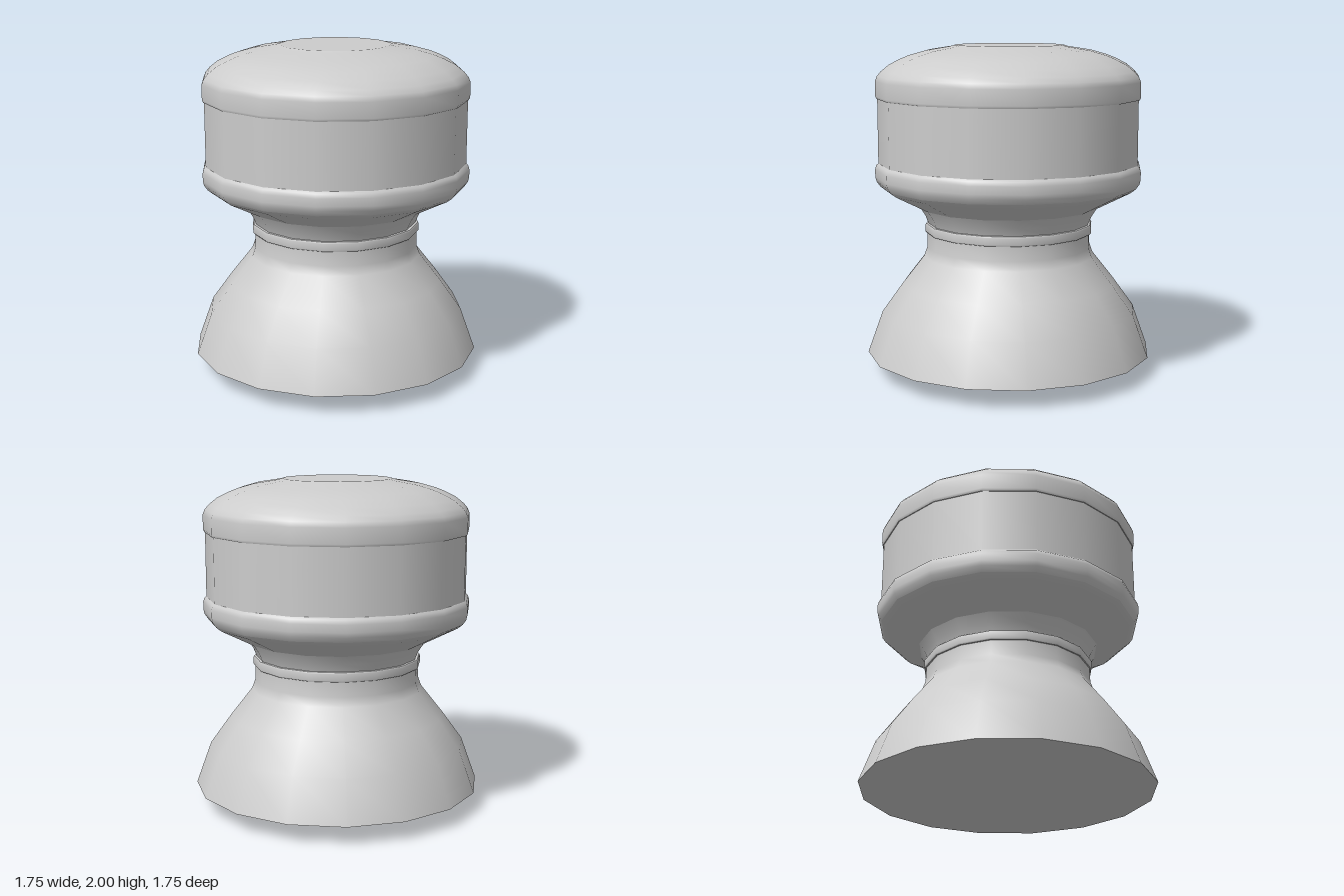
import * as THREE from 'three';

const SIDES = 16;

export function createModel() {
  const model = new THREE.Group();
  const grey = new THREE.MeshStandardMaterial({ name: 'plain grey', color: 0xcccccc });

  // Turned part from a bottom-to-top profile of [radius, height]; smooth within the part
  function turned(name, profile) {
    const points = profile.map(([r, y]) => new THREE.Vector2(r, y));
    const mesh = new THREE.Mesh(new THREE.LatheGeometry(points, SIDES), grey);
    mesh.name = name;
    model.add(mesh);
  }

  // Shallow cone closing the underside
  turned('underside', [[0, 0], [0.877, 0.115]]);

  // Flaring foot that narrows to the waist
  turned('foot', [[0.877, 0.115], [0.785, 0.37], [0.655, 0.55], [0.525, 0.715], [0.505, 0.77], [0.502, 0.86]]);

  // Thin collar around the waist
  turned('collarUnderside', [[0.49, 0.86], [0.51, 0.86]]);
  turned('collar', [[0.51, 0.86], [0.516, 0.868], [0.516, 0.908], [0.51, 0.917]]);
  turned('collarTop', [[0.51, 0.917], [0.48, 0.92]]);

  // Neck opening out below the head
  turned('neck', [[0.495, 0.915], [0.515, 0.965], [0.55, 1.02]]);

  // Sloping underside of the head and its rounded lower rim
  turned('headUnderside', [[0.55, 1.02], [0.755, 1.125], [0.787, 1.15]]);
  turned('lowerRim', [[0.787, 1.15], [0.808, 1.18], [0.815, 1.21], [0.815, 1.255], [0.808, 1.28], [0.79, 1.295]]);

  // Straight drum
  turned('drum', [[0.795, 1.29], [0.795, 1.685]]);

  // Domed cap with a small lip and flat crown
  turned('capLip', [[0.79, 1.68], [0.8, 1.68]]);
  turned('cap', [
    [0.8, 1.68], [0.807, 1.695], [0.807, 1.785], [0.795, 1.815], [0.77, 1.845], [0.72, 1.885],
    [0.65, 1.92], [0.6, 1.94], [0.5, 1.968], [0.36, 1.99], [0.33, 1.999],
  ]);
  turned('crown', [[0.33, 1.999], [0, 2]]);

  return model;
}
